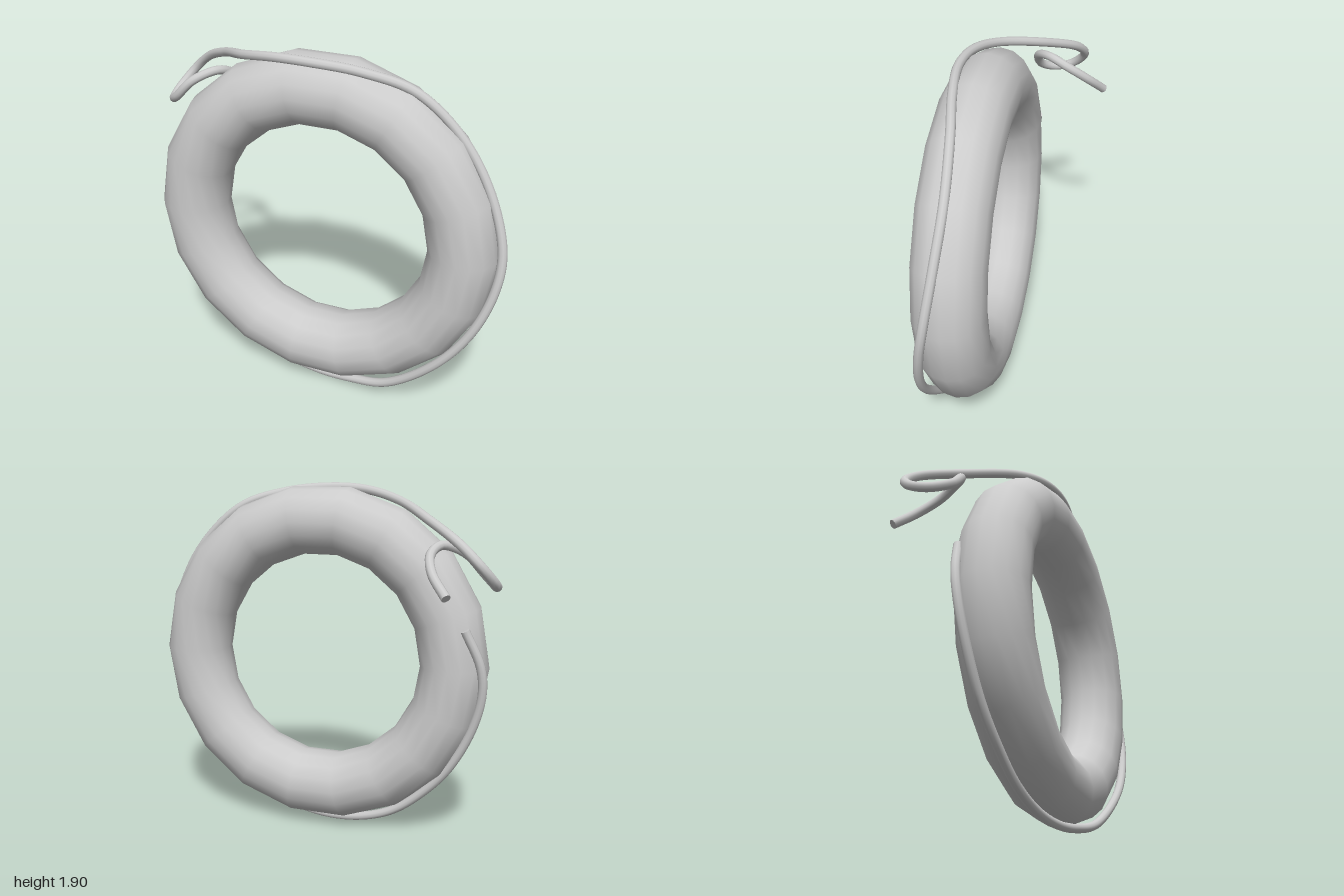
import * as THREE from 'three';

const ROPE_RADIUS = 0.024;

// Rope path: loose curl behind the ring, over the top, down one side, round the bottom and up the other
const ROPE_PATH = [
  [-0.78, 1.41, -0.345], [-0.69, 1.51, -0.26], [-0.655, 1.59, -0.15], [-0.69, 1.625, -0.05],
  [-0.79, 1.58, 0.03], [-0.89, 1.48, 0.03], [-0.96, 1.435, -0.05], [-0.97, 1.46, -0.14],
  [-0.91, 1.55, -0.215], [-0.81, 1.64, -0.19], [-0.62, 1.74, -0.04], [-0.4, 1.825, 0.17],
  [-0.2, 1.87, 0.26], [0, 1.88, 0.285], [0.25, 1.855, 0.255], [0.5, 1.775, 0.205],
  [0.72, 1.58, 0.185], [0.88, 1.33, 0.205], [0.97, 1.05, 0.245], [0.96, 0.85, 0.28],
  [0.87, 0.6, 0.315], [0.7, 0.36, 0.325], [0.42, 0.12, 0.28], [0.2, 0.05, 0.235],
  [0, 0.028, 0.205], [-0.2, 0.048, 0.18], [-0.4, 0.12, 0.16], [-0.58, 0.26, 0.14],
  [-0.72, 0.42, 0.12], [-0.84, 0.65, 0.1], [-0.89, 0.85, 0.08], [-0.88, 1.0, 0.06],
  [-0.8, 1.19, 0.03],
];

export function createModel() {
  const model = new THREE.Group();
  const material = new THREE.MeshStandardMaterial({ color: 0xcccccc });

  // Float ring
  const ring = new THREE.Mesh(new THREE.TorusGeometry(0.747, 0.183, 16, 18), material);
  ring.name = 'floatRing';
  ring.position.set(0.025, 0.97, 0.175);
  model.add(ring);

  // Rope with a flat cap at each end
  const rope = new THREE.Group();
  rope.name = 'rope';
  const curve = new THREE.CatmullRomCurve3(ROPE_PATH.map(p => new THREE.Vector3(...p)));
  const strand = new THREE.Mesh(new THREE.TubeGeometry(curve, 240, ROPE_RADIUS, 10), material);
  strand.name = 'ropeStrand';
  rope.add(strand);
  for (const t of [0, 1]) {
    const cap = new THREE.Mesh(new THREE.CircleGeometry(ROPE_RADIUS, 10), material);
    cap.name = t ? 'ropeTuckedEnd' : 'ropeLooseEnd';
    const outward = curve.getTangentAt(t).multiplyScalar(t ? 1 : -1);
    cap.position.copy(curve.getPointAt(t));
    cap.quaternion.setFromUnitVectors(new THREE.Vector3(0, 0, 1), outward);
    rope.add(cap);
  }
  model.add(rope);

  return model;
}
